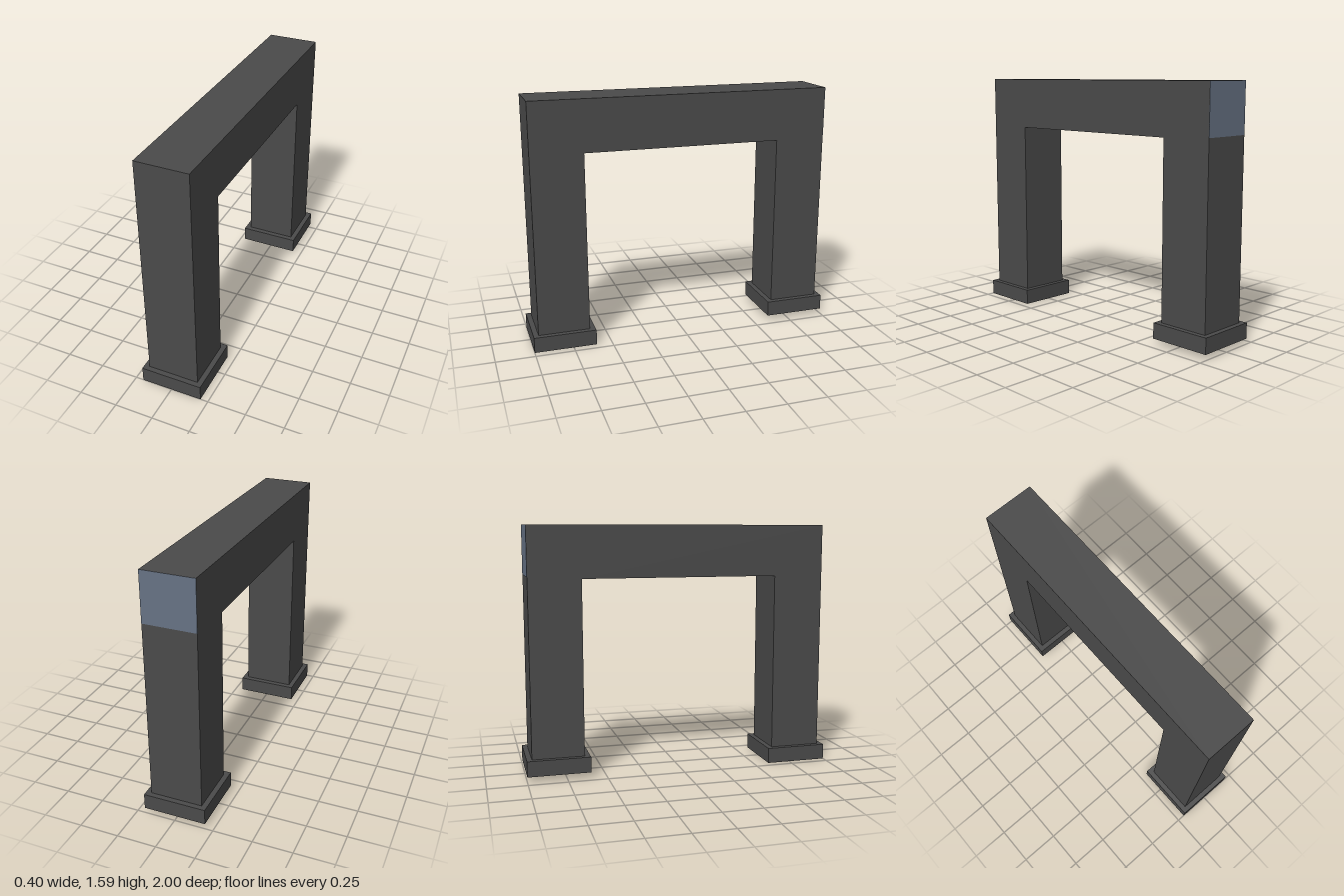
import * as THREE from 'three';

const WIDTH = 0.333;   // post and beam thickness
const OUTER = 0.967;   // outer face of the posts
const INNER = 0.635;   // inner face of the posts
const TOP = 1.585;
const SOFFIT = 1.255;  // underside of the beam
const FOOT_HEIGHT = 0.1;

export function createModel() {
  const model = new THREE.Group();
  model.name = 'archway';

  const darkGrey = new THREE.MeshStandardMaterial({ color: 0x4a4a4a });
  darkGrey.name = 'darkGrey';
  const slateBlue = new THREE.MeshStandardMaterial({ color: 0x667284 });
  slateBlue.name = 'slateBlue';

  const add = (name, geometry, material, x, y, z) => {
    const mesh = new THREE.Mesh(geometry, material);
    mesh.name = name;
    mesh.position.set(x, y, z);
    model.add(mesh);
  };

  // The rear foot stands a little higher than the front one
  const feet = [
    { name: 'frontFoot', side: 1, base: 0 },
    { name: 'rearFoot', side: -1, base: 0.035 },
  ];
  for (const { name, side, base } of feet) {
    add(name, new THREE.BoxGeometry(0.4, FOOT_HEIGHT, 0.4), darkGrey,
      0, base + FOOT_HEIGHT / 2, side * 0.8);
  }

  // Two posts and the beam as one profile, drawn in z and y
  const frontBase = feet[0].base + FOOT_HEIGHT;
  const rearBase = feet[1].base + FOOT_HEIGHT;
  const profile = new THREE.Shape([
    [OUTER, frontBase], [OUTER, TOP], [-OUTER, TOP], [-OUTER, rearBase],
    [-INNER, rearBase], [-INNER, SOFFIT], [INNER, SOFFIT], [INNER, frontBase],
  ].map(([z, y]) => new THREE.Vector2(z, y)));
  const arch = new THREE.ExtrudeGeometry(profile, { depth: WIDTH, bevelEnabled: false });
  arch.rotateY(-Math.PI / 2);
  add('postsAndBeam', arch, darkGrey, WIDTH / 2, 0, 0);

  // Blue end face of the beam, on the back
  const panelBottom = SOFFIT + 0.015;
  add('beamEndPanel', new THREE.BoxGeometry(WIDTH, TOP - panelBottom, 0.002), slateBlue,
    0, (TOP + panelBottom) / 2, -OUTER);

  return model;
}
